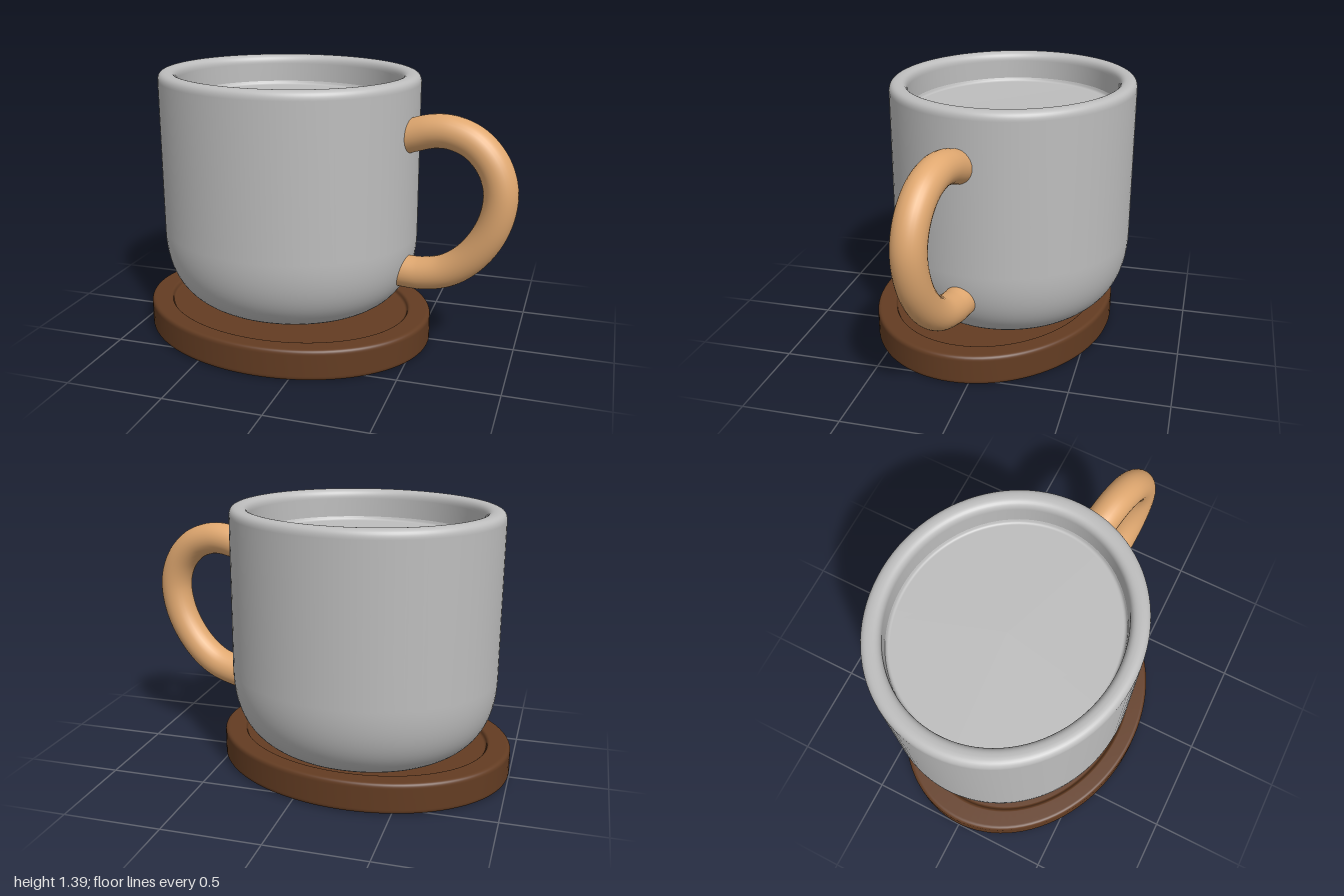
import * as THREE from 'three';

// Turns corners [radius, y, cut] into a profile, each cut corner being rounded.
function roundedProfile(corners, steps = 8) {
  const points = [];
  corners.forEach(([r, y, cut], i) => {
    const p = new THREE.Vector2(r, y);
    if (!cut) { points.push(p); return; }
    const toward = ([a, b]) => new THREE.Vector2(a, b).sub(p).setLength(cut).add(p);
    const curve = new THREE.QuadraticBezierCurve(toward(corners[i - 1]), p, toward(corners[i + 1]));
    points.push(...curve.getPoints(steps + Math.round(cut * 30)));
  });
  return points;
}

// Lathe squeezed in depth to an oval.
function ovalLathe(name, corners, depthRatio, material) {
  const geometry = new THREE.LatheGeometry(roundedProfile(corners), 96);
  geometry.scale(1, 1, depthRatio);
  const mesh = new THREE.Mesh(geometry, material);
  mesh.name = name;
  return mesh;
}

export function createModel() {
  const ceramic = new THREE.MeshStandardMaterial({ color: 0xbdbdbd });
  ceramic.name = 'grey ceramic';
  const wood = new THREE.MeshStandardMaterial({ color: 0xe0a870 });
  wood.name = 'light wood';
  const darkWood = new THREE.MeshStandardMaterial({ color: 0x633c22 });
  darkWood.name = 'dark wood';

  const model = new THREE.Group();
  model.name = 'mugOnCoaster';
  const turn = -THREE.MathUtils.degToRad(10);

  // Oval coaster with a shallow recess
  const coaster = ovalLathe('coaster', [
    [0, 0, 0], [0.787, 0, 0.025], [0.787, 0.16, 0.025],
    [0.67, 0.16, 0.012], [0.66, 0.135, 0.01], [0, 0.135, 0],
  ], 0.632 / 0.787, darkWood);
  coaster.position.set(-0.217, 0, 0.04);
  coaster.rotation.y = turn;
  model.add(coaster);

  const mug = new THREE.Group();
  mug.name = 'mug';
  mug.position.set(-0.23, 0, -0.045);
  mug.rotation.y = turn;
  model.add(mug);

  // Mug wall: rounded base, rim and inner wall
  mug.add(ovalLathe('mugBody', [
    [0, 0.12, 0], [0.692, 0.12, 0.43], [0.692, 1.387, 0.045],
    [0.594, 1.387, 0.048], [0.594, 1.2, 0],
  ], 0.633 / 0.692, ceramic));

  // Drink surface inside the mug
  mug.add(ovalLathe('drinkSurface', [
    [0.594, 1.24, 0], [0.585, 1.22, 0.012], [0, 1.22, 0],
  ], 0.633 / 0.692, ceramic));

  // Handle swept in the plane of the mug's long axis
  const path = new THREE.CatmullRomCurve3([
    [0.65, 1.1], [0.71, 1.12], [0.8, 1.145], [0.9, 1.148], [1.02, 1.105],
    [1.115, 1.005], [1.156, 0.87], [1.125, 0.7], [1.025, 0.54],
    [0.9, 0.443], [0.77, 0.405], [0.69, 0.4], [0.62, 0.4],
  ].map(([x, y]) => new THREE.Vector3(x, y, 0)));
  const handle = new THREE.Mesh(new THREE.TubeGeometry(path, 80, 0.084, 28), wood);
  handle.name = 'handle';
  mug.add(handle);

  return model;
}
